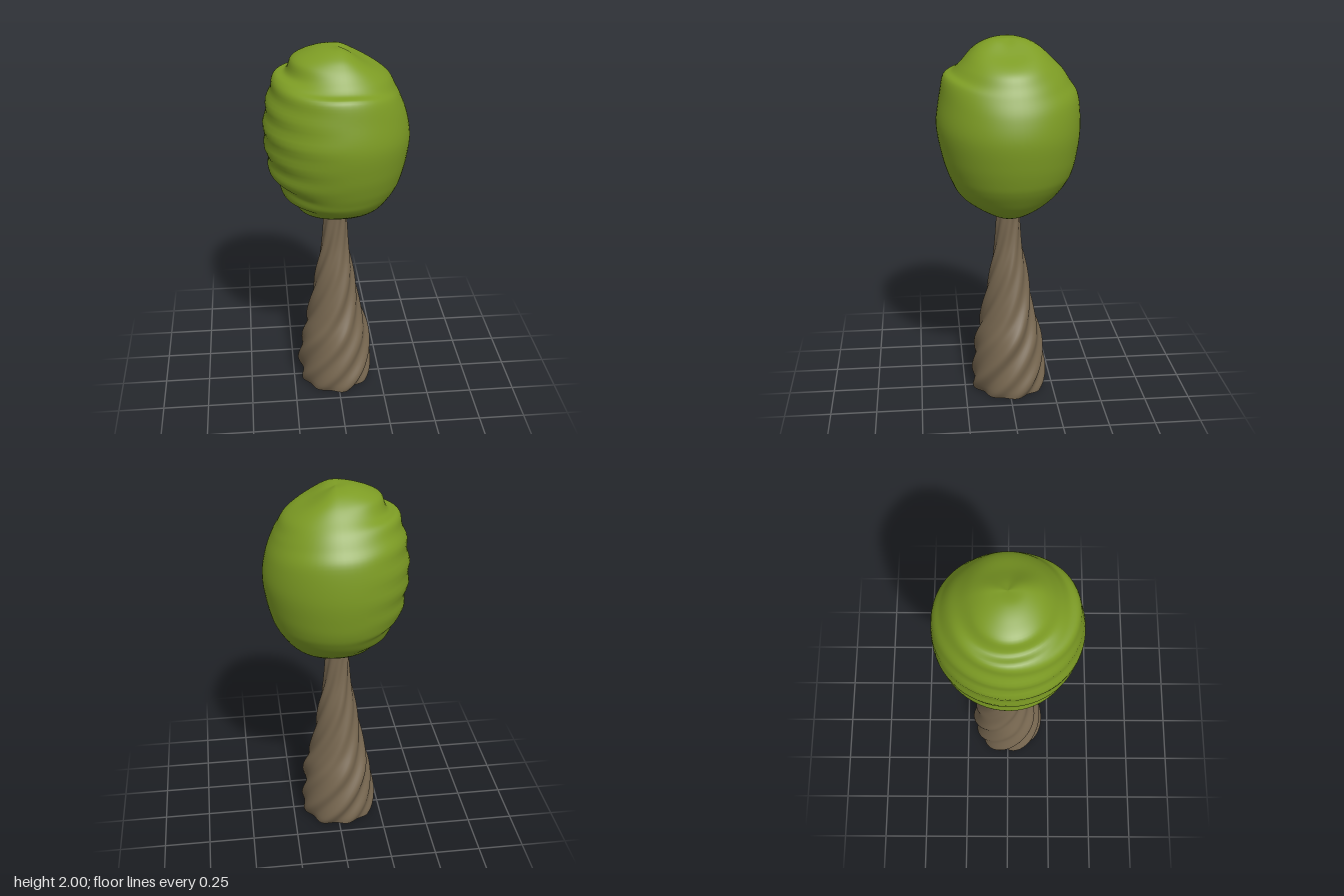
import * as THREE from 'three';
import { mergeVertices } from 'three/addons/utils/BufferGeometryUtils.js';

// Closed surface from rings listed top to bottom; point(t, angle) gives [radius, y], angle 0 faces +z
function loft(rows, cols, point) {
  const pos = [], index = [];
  for (let i = 0; i <= rows; i++) {
    for (let j = 0; j < cols; j++) {
      const a = (j / cols) * Math.PI * 2;
      const [r, y] = point(i / rows, a);
      pos.push(r * Math.sin(a), y, r * Math.cos(a));
      if (i < rows) {
        const k = (j + 1) % cols;
        const p = i * cols + j, q = i * cols + k;
        index.push(p, p + cols, q, q, p + cols, q + cols);
      }
    }
  }
  let g = new THREE.BufferGeometry();
  g.setAttribute('position', new THREE.Float32BufferAttribute(pos, 3));
  g.setIndex(index);
  g = mergeVertices(g, 1e-5);
  g.computeVertexNormals();
  return g;
}

const profile = (pts) => new THREE.SplineCurve(pts.map(([r, y]) => new THREE.Vector2(r, y)));

// Crown outlines toward front, left, back and right, as [radius, y]
const outlines = [
  [[0, 1.995], [.08, 1.997], [.15, 1.97], [.2, 1.93], [.25, 1.875], [.29, 1.835], [.338, 1.81], [.36, 1.71], [.38, 1.56],
    [.355, 1.4], [.325, 1.3], [.3, 1.24], [.28, 1.2], [.24, 1.155], [.17, 1.11], [.09, 1.07], [0, 1.04]],
  [[0, 1.995], [.06, 1.97], [.14, 1.925], [.22, 1.885], [.27, 1.845], [.3, 1.79], [.325, 1.74], [.36, 1.65], [.38, 1.53],
    [.365, 1.4], [.34, 1.3], [.32, 1.25], [.29, 1.2], [.25, 1.145], [.2, 1.1], [.11, 1.055], [0, 1.04]],
  [[0, 1.995], [.05, 1.995], [.11, 1.98], [.17, 1.945], [.23, 1.89], [.28, 1.84], [.32, 1.78], [.365, 1.7], [.378, 1.53],
    [.36, 1.38], [.34, 1.3], [.315, 1.25], [.28, 1.2], [.23, 1.15], [.16, 1.1], [.08, 1.055], [0, 1.04]],
  [[0, 1.995], [.07, 2], [.15, 1.98], [.23, 1.94], [.262, 1.872], [.31, 1.86], [.335, 1.81], [.362, 1.71], [.38, 1.55],
    [.362, 1.4], [.348, 1.32], [.312, 1.295], [.283, 1.2], [.23, 1.18], [.2, 1.11], [.11, 1.07], [0, 1.04]],
].map(profile);

function crownPoint(t, a) {
  const quarter = a / (Math.PI / 2);
  const i = Math.floor(quarter + 1e-9) % 4;
  const w = Math.sin((quarter - Math.floor(quarter + 1e-9)) * Math.PI / 2) ** 2;
  const p = outlines[i].getPoint(t).lerp(outlines[(i + 1) % 4].getPoint(t), w);
  // Shallow folds wrap around the right side
  const side = Math.max(0, -Math.sin(a - 0.15)) ** 1.5;
  const fold = 0.005 * side * Math.sin(p.y * 52 + Math.cos(a) * 1.5) * Math.sin(Math.PI * t);
  return [p.x * (1 + fold / 0.3), p.y];
}

// Trunk: tapered and fluted, the flutes twisting as they rise
const trunkOutline = profile([[.062, 1.1], [.064, 1], [.074, .87], [.1, .72], [.123, .58], [.148, .45],
  [.178, .33], [.193, .22], [.202, .11], [.2, .04], [.19, 0]]);

function trunkPoint(t, a) {
  const p = trunkOutline.getPoint(t);
  const s = a - 4.7 * p.y + 0.9 * p.y * p.y;
  const flute = 0.05 * Math.sin(8 * s) + 0.022 * Math.sin(5 * s + 1) + 0.018 * Math.sin(3 * s + 2.2);
  return [p.x * (1 + flute), p.y];
}

export function createModel() {
  const leaf = new THREE.MeshStandardMaterial({ color: 0x7d9c24 });
  leaf.name = 'leaf green';
  const bark = new THREE.MeshStandardMaterial({ color: 0x776750 });
  bark.name = 'bark brown';

  const tree = new THREE.Group();
  tree.name = 'tree';
  const add = (name, geometry, material, x = 0) => {
    const mesh = new THREE.Mesh(geometry, material);
    mesh.name = name;
    mesh.position.x = x;
    tree.add(mesh);
  };

  add('crown', loft(96, 64, crownPoint), leaf);
  add('trunk', loft(60, 96, trunkPoint), bark, -0.01);
  // Flat underside sharing the trunk's fluted rim
  add('trunkBase', loft(1, 96, (t, a) => [trunkPoint(1, a)[0] * (1 - t), 0]), bark, -0.01);
  return tree;
}
